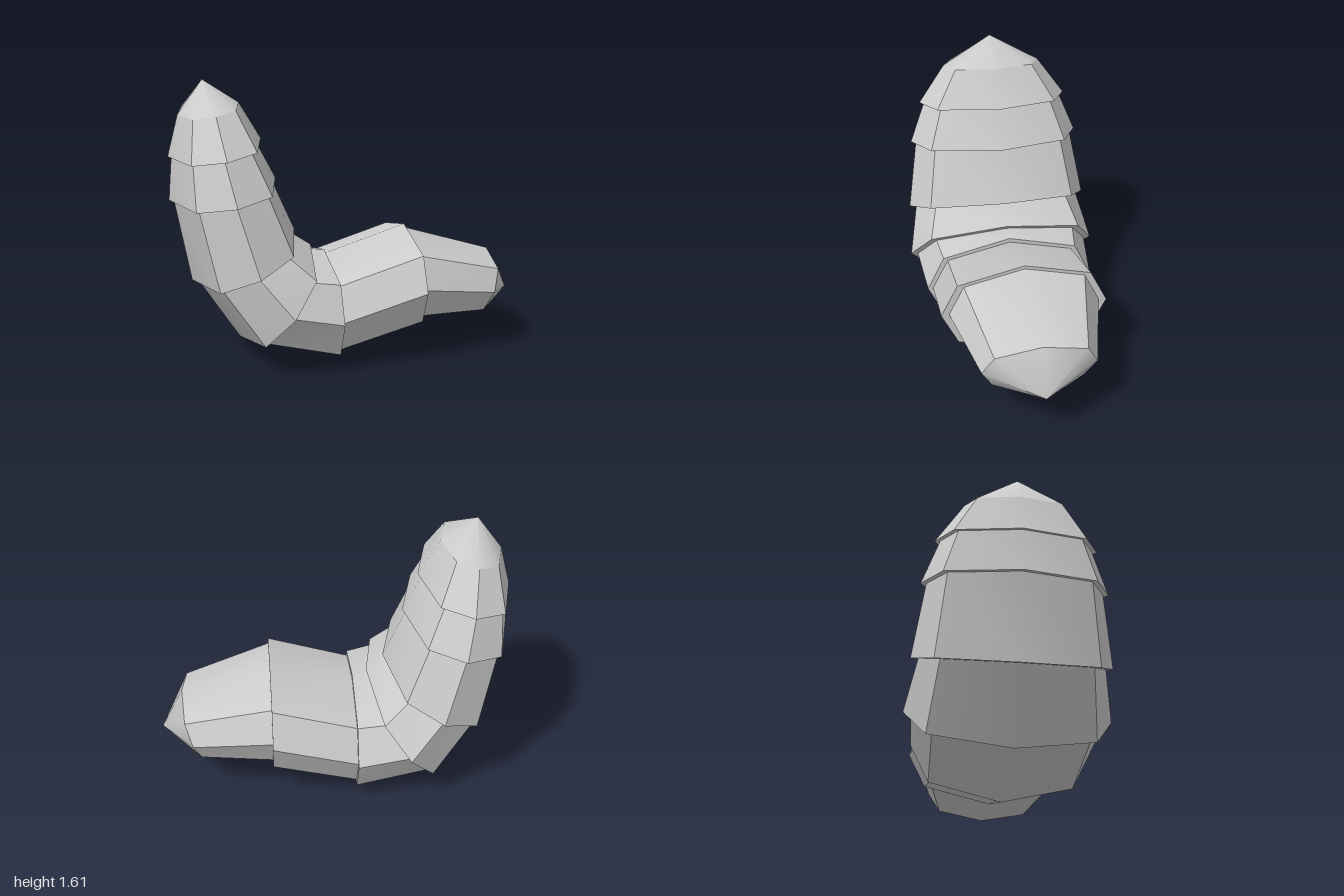
import * as THREE from 'three';
import { toCreasedNormals } from 'three/addons/utils/BufferGeometryUtils.js';

// Eight-sided cross-section: [share of half height, share of half width]
const SECTION = [[1, 0], [0.68, 0.8], [0, 1], [-0.68, 0.8], [-1, 0], [-0.68, -0.8], [0, -1], [0.68, -0.8]];

// A ring spans from its outer (belly) point to its inner (back) point in the xy plane, with half width w in z
function ring([bx, by, tx, ty, w]) {
  const center = new THREE.Vector3((bx + tx) / 2, (by + ty) / 2, 0);
  const up = new THREE.Vector3((tx - bx) / 2, (ty - by) / 2, 0);
  const points = SECTION.map(([h, z]) => center.clone().addScaledVector(up, h).setZ(z * w));
  return { center, points };
}

function toMesh(name, triangles, crease) {
  const raw = new THREE.BufferGeometry().setFromPoints(triangles);
  const material = new THREE.MeshStandardMaterial({ color: 0xcccccc });
  const mesh = new THREE.Mesh(toCreasedNormals(raw, crease), material);
  mesh.name = name;
  return mesh;
}

// Fan between a ring and an apex; "forward" faces along the body's path
function fan(points, apex, forward) {
  return points.flatMap((p, i) => {
    const q = points[(i + 1) % points.length];
    return forward ? [apex, p, q] : [apex, q, p];
  });
}

// Closed body segment between two rings
function segment(name, from, to) {
  const a = ring(from), b = ring(to);
  const triangles = [...fan(a.points, a.center, false), ...fan(b.points, b.center, true)];
  a.points.forEach((p, i) => {
    const j = (i + 1) % a.points.length;
    triangles.push(p, a.points[j], b.points[i], a.points[j], b.points[j], b.points[i]);
  });
  return toMesh(name, triangles, 0.63);
}

// Pointed end closing a ring
function tip(name, spec, x, y, forward) {
  return toMesh(name, fan(ring(spec).points, new THREE.Vector3(x, y, 0), forward), 1.05);
}

export function createModel() {
  const group = new THREE.Group();
  group.name = 'segmentedBody';

  // Segments run from the raised end to the lying end; each overlaps its neighbour with a small lip
  const upperEnd = [-0.94, 1.42, -0.6, 1.475, 0.285];
  const lowerEnd = [0.75, 0.185, 0.875, 0.54, 0.32];
  const segments = [
    ['raisedEndSegment', upperEnd, [-1.0, 1.19, -0.48, 1.27, 0.44]],
    ['upperSegment', [-0.98, 1.195, -0.515, 1.265, 0.41], [-1.0, 0.945, -0.4, 1.04, 0.505]],
    ['middleSegment', [-0.975, 0.95, -0.425, 1.035, 0.475], [-0.885, 0.475, -0.295, 0.735, 0.54]],
    ['bendSegment', [-0.86, 0.485, -0.325, 0.72, 0.5], [-0.62, 0.115, -0.2, 0.635, 0.56]],
    ['bellySegment', [-0.6, 0.13, -0.22, 0.61, 0.52], [-0.12, 0.0, -0.12, 0.6, 0.495]],
    ['lowerSegment', [-0.12, 0.03, -0.12, 0.575, 0.465], [0.36, 0.155, 0.36, 0.72, 0.475]],
    ['lyingEndSegment', [0.36, 0.185, 0.36, 0.7, 0.43], lowerEnd],
  ];
  for (const [name, from, to] of segments) group.add(segment(name, from, to));

  // Pointed ends
  group.add(tip('raisedTip', upperEnd, -0.8, 1.61, false));
  group.add(tip('lyingTip', lowerEnd, 1.0, 0.29, true));
  return group;
}
